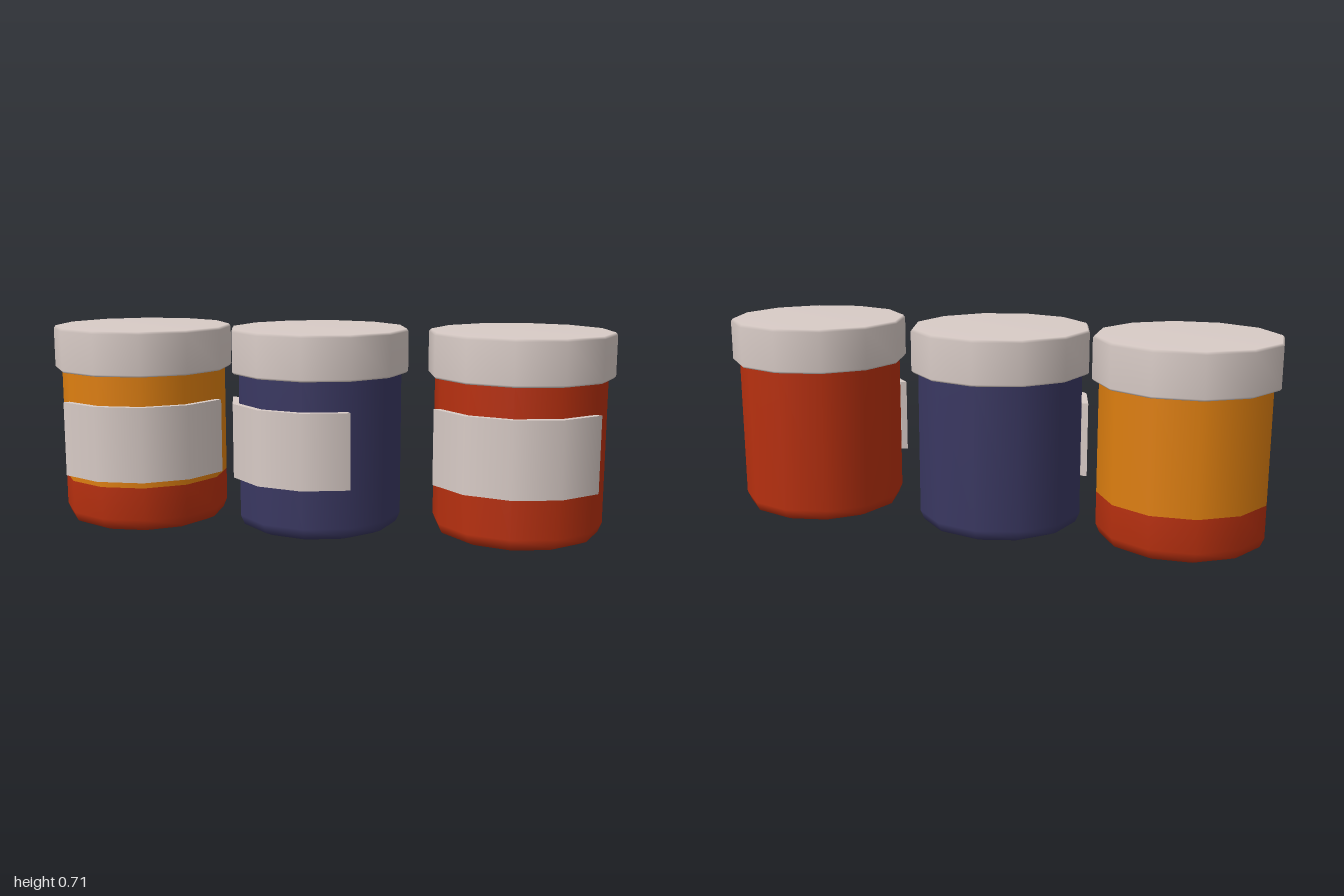
import * as THREE from 'three';
import { mergeGeometries } from 'three/addons/utils/BufferGeometryUtils.js';

const SIDES = 12;
const rad = THREE.MathUtils.degToRad;

// Twelve-sided turned form; repeated profile points make hard edges
function turned(points, segments = SIDES, start = 0, length = Math.PI * 2) {
  return new THREE.LatheGeometry(points.map(([r, y]) => new THREE.Vector2(r, y)), segments, start, length);
}

// Curved slab covering a third of the jar, closed at both ends
function labelGeometry(startDeg) {
  const inner = 0.297, outer = 0.32, y0 = 0.187, y1 = 0.451;
  const a = [inner, y0], b = [outer, y0], c = [outer, y1], d = [inner, y1];
  const start = rad(startDeg), length = rad(120);
  const band = turned([a, b, b, c, c, d, d, a], 4, start, length);
  const ends = [start, start + length].map((phi) =>
    new THREE.PlaneGeometry(outer - inner, y1 - y0)
      .translate((inner + outer) / 2, (y0 + y1) / 2, 0)
      .rotateY(phi - Math.PI / 2));
  return mergeGeometries([band, ...ends]);
}

export function createModel() {
  const material = (name, color, side = THREE.FrontSide) => {
    const m = new THREE.MeshStandardMaterial({ color, side });
    m.name = name;
    return m;
  };
  const cream = material('pale cream', 0xd8cbc6, THREE.DoubleSide);
  const red = material('brick red', 0xb8300f);
  const navy = material('navy blue', 0x3a3862);
  const orange = material('orange', 0xde7f10);

  const model = new THREE.Group();
  model.name = 'paintJars';

  const base = [[0, 0], [0.25, 0], [0.282, 0.014], [0.296, 0.047]];
  const lidGeometry = turned([
    [0, 0.555], [0.314, 0.555], [0.32, 0.562], [0.32, 0.701], [0.313, 0.71], [0, 0.71],
  ]);

  const jars = [
    { name: 'orangeJar', x: -0.687, turn: -12.6, label: -30, lower: red, upper: orange, split: 0.163 },
    { name: 'blueJar', x: -0.03, turn: 0, label: -90, lower: navy },
    { name: 'redJar', x: 0.679, turn: -3, label: -60, lower: red },
  ];

  for (const { name, x, turn, label, lower, upper, split } of jars) {
    const jar = new THREE.Group();
    jar.name = name;
    jar.position.x = x;
    jar.rotation.y = rad(turn);
    const add = (part, geometry, mat) => {
      const mesh = new THREE.Mesh(geometry, mat);
      mesh.name = part;
      jar.add(mesh);
    };
    // Body with a rounded foot, in one or two colours
    add('jarBody', turned([...base, [0.296, split ?? 0.56]]), lower);
    if (upper) add('upperBody', turned([[0.296, split], [0.296, 0.56]]), upper);
    add('lid', lidGeometry, cream);
    add('label', labelGeometry(label), cream);
    model.add(jar);
  }
  return model;
}
